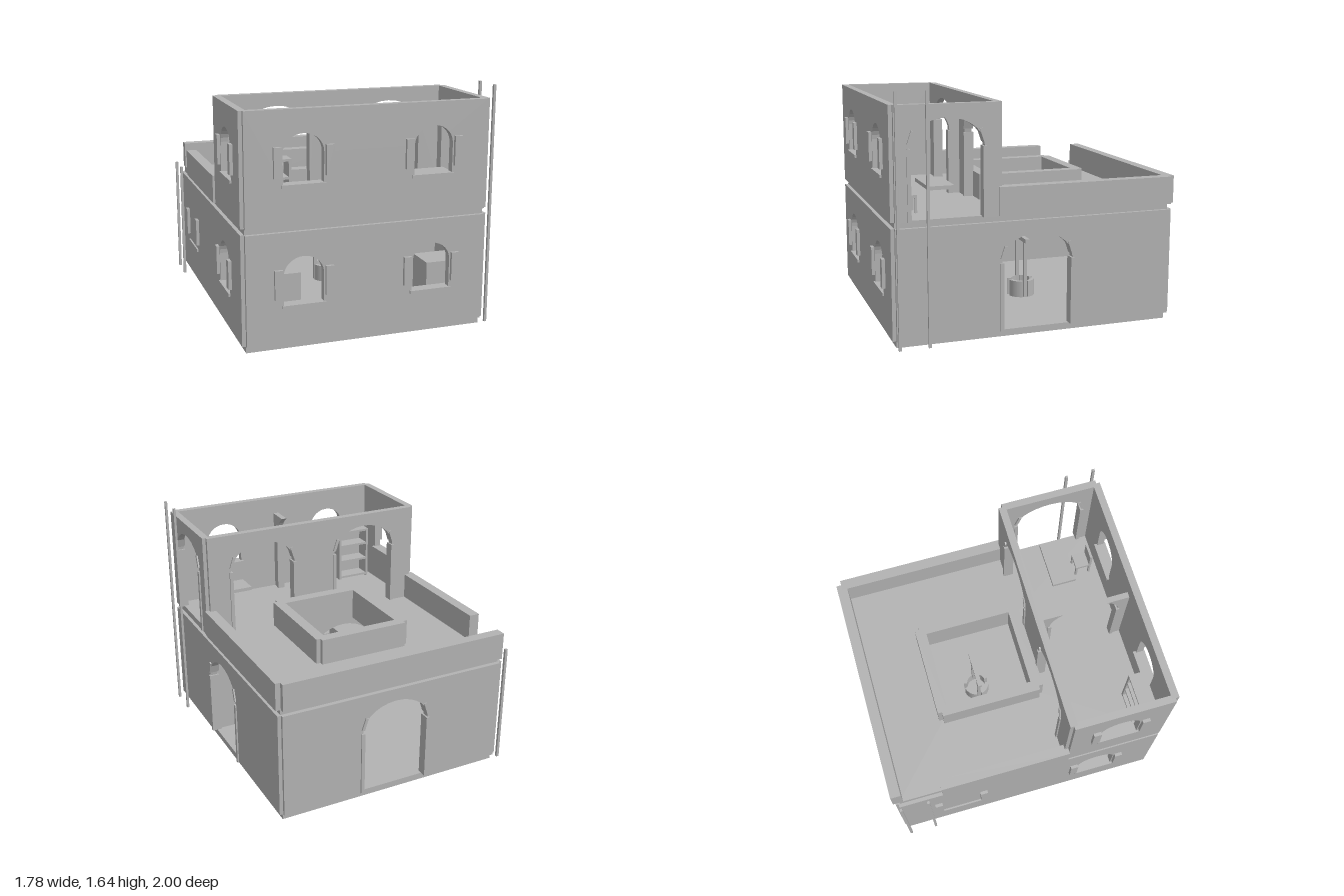
import * as THREE from 'three';

export function createModel() {
  const root = new THREE.Group();
  const plaster = new THREE.MeshStandardMaterial({ color: 0xb2b2b2 });
  plaster.name = 'plaster';

  const add = (name, geo, parent = root) => {
    const m = new THREE.Mesh(geo, plaster);
    m.name = name;
    parent.add(m);
    return m;
  };
  // Box given by its limits on each axis
  const box = (name, x0, x1, y0, y1, z0, z1, parent) =>
    add(name, new THREE.BoxGeometry(x1 - x0, y1 - y0, z1 - z0)
      .translate((x0 + x1) / 2, (y0 + y1) / 2, (z0 + z1) / 2), parent);

  // Points up one side of an arched opening, over the top and down again
  const archPoints = ({ c, w, y0, spring, top }) => {
    const pts = [new THREE.Vector2(c - w / 2, y0)];
    for (let i = 0; i <= 14; i++) {
      const a = Math.PI * (1 - i / 14);
      pts.push(new THREE.Vector2(c + Math.cos(a) * w / 2, spring + Math.sin(a) * (top - spring)));
    }
    pts.push(new THREE.Vector2(c + w / 2, y0));
    return pts;
  };
  const extrude = (shape, depth) => new THREE.ExtrudeGeometry(shape, { depth, bevelEnabled: false });
  // Turns a panel drawn in (u, y) so that u runs along z and its thickness ends at x
  const alongZ = (mesh, x) => { mesh.rotation.y = -Math.PI / 2; mesh.position.x = x; return mesh; };

  // Wall panel: doors notch the lower edge, windows are holes
  const wall = (name, axis, at, u0, u1, y0, y1, doors = [], windows = [], t = 0.05) => {
    const pts = [new THREE.Vector2(u0, y0)];
    doors.forEach(d => pts.push(...archPoints(d)));
    pts.push(new THREE.Vector2(u1, y0), new THREE.Vector2(u1, y1), new THREE.Vector2(u0, y1));
    const shape = new THREE.Shape(pts);
    windows.forEach(w => shape.holes.push(new THREE.Path(archPoints(w))));
    const m = add(name, extrude(shape, t));
    if (axis === 'z') alongZ(m, at + t); else m.position.z = at;
    // Door jambs, with a short slanted block at the foot of each arch
    doors.forEach(d => [-1, 1].forEach(s => {
      const jamb = add('doorJamb', new THREE.BoxGeometry(0.025, d.spring - d.y0, t + 0.02), m);
      jamb.position.set(d.c + s * d.w / 2, (d.y0 + d.spring) / 2, t / 2);
      const block = add('archBlock', new THREE.BoxGeometry(0.02, 0.09, t + 0.02), m);
      block.position.set(d.c + s * (d.w / 2 - 0.012), d.spring + 0.07, t / 2);
      block.rotation.z = s * 0.32;
    }));
    return m;
  };

  const F1 = 0.045, F2 = 0.82;
  const door = (c, y0) => ({ c, w: 0.495, y0, spring: y0 + 0.46, top: y0 + 0.648 });
  const win = (c, y0) => ({ c, w: 0.268, y0: y0 + 0.25, spring: y0 + 0.45, top: y0 + 0.572 });

  // Ground slab and ground floor walls
  box('groundSlab', -0.82, 0.82, 0, F1, -0.955, 0.95);
  wall('lowerFrontWall', 'x', 0.925, -0.82, 0.82, F1, 0.78, [], [win(-0.44, F1), win(0.44, F1)]);
  wall('lowerBackWall', 'x', -0.985, -0.82, 0.82, F1, 0.78, [door(0, F1)]);
  wall('lowerLeftWall', 'z', 0.795, -0.965, 0.95, F1, 0.78, [door(0, F1)]);
  wall('lowerRightWall', 'z', -0.845, -0.965, 0.95, F1, 0.78, [], [win(0.505, F1)]);
  wall('lowerInnerWall', 'x', 0.25, -0.795, 0.795, F1, 0.78, [door(-0.25, F1)]);

  // Middle slab, open above the courtyard
  const rect = (C, x0, x1, z0, z1) => new C([[x0, -z1], [x1, -z1], [x1, -z0], [x0, -z0]]
    .map(p => new THREE.Vector2(...p)));
  const slab = rect(THREE.Shape, -0.82, 0.82, -0.955, 0.95);
  slab.holes.push(rect(THREE.Path, -0.28, 0.275, -0.46, 0.155));
  const slabMesh = add('middleSlab', extrude(slab, F2 - 0.78 + 0.005));
  slabMesh.rotation.x = -Math.PI / 2;
  slabMesh.position.y = 0.78;

  // Upper room walls
  const H = 1.555;
  wall('upperFrontWall', 'x', 0.925, -0.82, 0.82, F2, H, [], [win(-0.44, F2 + 0.01), win(0.44, F2 + 0.01)]);
  wall('upperBackWall', 'x', 0.24, -0.82, 0.82, F2, H, [door(-0.415, F2), door(0.405, F2)]);
  wall('upperLeftWall', 'z', 0.795, 0.265, 0.95, F2, H, [door(0.61, F2)]);
  wall('upperRightWall', 'z', -0.845, 0.265, 0.95, F2, H, [], [win(0.605, F2 + 0.01)]);

  // Broken partition arch: two stubs curving toward each other
  [-1, 1].forEach(s => {
    const pts = [[0.325, F2], [0.248, F2]];
    for (let i = 0; i <= 5; i++) {
      const a = i / 5 * 0.89;
      pts.push([0.248 * Math.cos(a), 1.28 + 0.19 * Math.sin(a)]);
    }
    pts.push([0.325, 1.43]);
    const shape = new THREE.Shape(pts.map(([u, y]) => new THREE.Vector2(0.61 + s * u, y)));
    alongZ(add('partitionStub', extrude(shape, 0.04)), 0.02);
    box('partitionJamb', -0.028, 0.028, F2, 1.28, 0.61 + s * 0.248 - 0.012, 0.61 + s * 0.248 + 0.012);
  });

  // Roof parapets, with a gap at the ladder
  box('backParapet', -0.82, 0.82, F2, 1.01, -1, -0.927);
  box('leftParapet', 0.78, 0.855, F2, 1.01, -0.965, 0.265);
  box('rightParapet', -0.86, -0.785, F2, 1.01, -0.65, 0.265);

  // Courtyard rim with notched corners
  box('rimBack', -0.325, 0.32, F2, 1.005, -0.535, -0.46);
  box('rimFront', -0.325, 0.32, F2, 1.005, 0.155, 0.235);
  box('rimRight', -0.355, -0.28, F2, 1.005, -0.505, 0.205);
  box('rimLeft', 0.275, 0.35, F2, 1.005, -0.505, 0.205);

  // Shutters and sills; built facing +z, then placed on a wall
  const windowTrim = (u, y0, side) => {
    const g = new THREE.Group();
    g.name = 'windowTrim';
    box('sill', -0.147, 0.147, y0 + 0.235, y0 + 0.255, -0.07, 0.012, g);
    [-1, 1].forEach(s => box('shutter', s * 0.17 - 0.027, s * 0.17 + 0.027, y0 + 0.3, y0 + 0.495, -0.005, 0.022, g));
    if (side) { g.rotation.y = -Math.PI / 2; g.position.set(-0.845, 0, u); }
    else g.position.set(u, 0, 0.975);
    root.add(g);
  };
  [F1, F2 + 0.01].forEach(y => [-0.44, 0.44].forEach(x => windowTrim(x, y, false)));
  windowTrim(0.505, F1, true);
  windowTrim(-0.525, F1, true);
  windowTrim(0.605, F2 + 0.01, true);

  // Poles beside the walls
  [0.745, 0.94].forEach(z => box('tallPole', 0.871, 0.888, 0, 1.64, z - 0.009, z + 0.009));
  [-0.955, -0.76].forEach(z => box('shortPole', -0.893, -0.874, 0, 0.86, z - 0.009, z + 0.009));

  // Well: four curved blocks, two posts and a beam
  const well = new THREE.Group();
  well.name = 'well';
  well.position.set(0.097, F1, -0.157);
  root.add(well);
  for (let i = 0; i < 4; i++) {
    const a = i * Math.PI / 2 + 0.2, b = a + Math.PI / 2 - 0.4;
    const s = new THREE.Shape();
    s.absarc(0, 0, 0.098, a, b, false);
    s.absarc(0, 0, 0.072, b, a, true);
    add('wellBlock', extrude(s, 0.12).rotateX(-Math.PI / 2), well);
  }
  [-1, 1].forEach(s => box('wellPost', s * 0.086 - 0.012, s * 0.086 + 0.012, 0, 0.42, -0.012, 0.012, well));
  box('wellBeam', -0.14, 0.137, 0.415, 0.445, -0.016, 0.016, well);

  // Upper room furniture
  box('tableTop', 0.385, 0.725, 0.992, 1.017, 0.53, 0.705);
  box('chairSeat', 0.5, 0.612, 0.925, 0.945, 0.75, 0.865);
  box('chairBack', 0.5, 0.612, 0.94, 1.06, 0.85, 0.868);
  [0.5, 0.597].forEach(x => [0.75, 0.85].forEach(z => box('chairLeg', x, x + 0.015, F2, 0.93, z, z + 0.015)));
  [-0.755, -0.513].forEach(x => box('shelfSide', x, x + 0.018, F2, 1.23, 0.785, 0.9));
  [0.835, 0.97, 1.1, 1.214].forEach(y => box('shelf', -0.75, -0.5, y, y + 0.016, 0.785, 0.9));

  // Ground floor furniture
  box('lowChest', -0.72, -0.4, F1, 0.44, 0.55, 0.78);
  box('cornerChest', 0.485, 0.79, F1, 0.425, 0.6, 0.82);

  return root;
}
